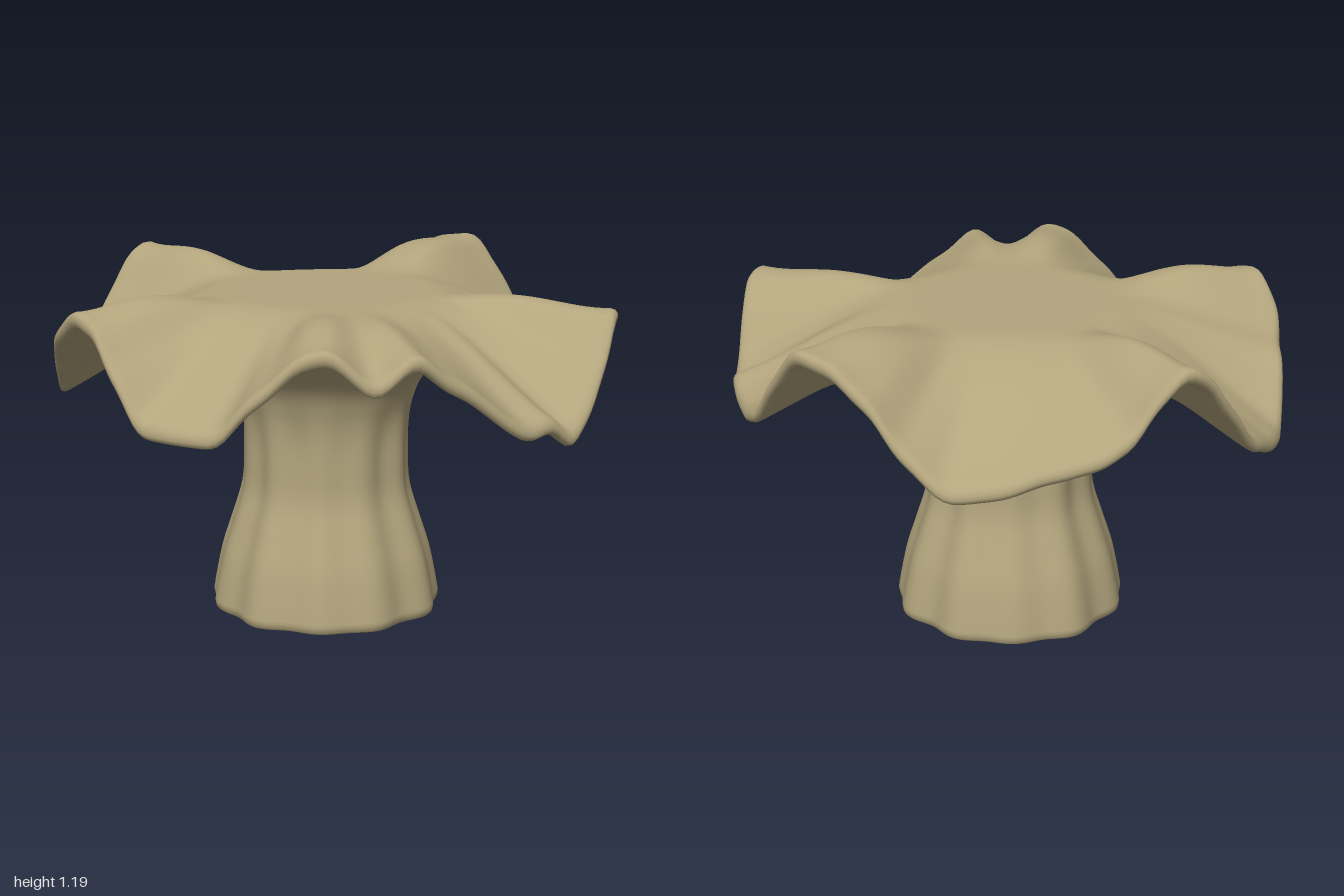
import * as THREE from 'three';

const SEGMENTS = 240;
const CENTRE = 1.12; // height of the flat middle of the cap
const NECK = 0.83;   // height where the stem meets the cap

// Rim of the cap: angle in degrees (from +x towards +z), height
const RIM_HEIGHT = [
  [0, .82], [5, .75], [10, .83], [16, .81], [33, 1], [41, 1.1], [49, 1], [58, 1.12], [63, 1.1],
  [72, .97], [80, .83], [97, .83], [105, .98], [112, 1.11], [120, 1.14], [128, 1.05], [135, .97],
  [143, .95], [150, .86], [157, .76], [165, .78], [177, .85], [184, 1], [190, 1.14], [195, 1.18],
  [200, 1.1], [206, .97], [213, .92], [222, .89], [231, .84], [241, .82], [250, .93], [258, 1.08],
  [266, 1.17], [275, 1.19], [281, 1.06], [287, .92], [295, .88], [303, .88], [310, .91], [321, .81],
  [328, .86], [334, 1], [340, 1.1], [346, 1.11], [352, .97],
];
// Rim of the cap: angle in degrees, radius
const RIM_RADIUS = [
  [0, 1], [15, .97], [30, .93], [45, .95], [57, .94], [90, .95], [115, .93], [129, .96], [137, .93],
  [150, .94], [165, .97], [180, 1], [195, .98], [203, .95], [210, .97], [225, .96], [240, .98],
  [255, .94], [270, .95], [286, .98], [300, .95], [315, .95], [330, .97], [343, 1.01],
];

// Smooth lookup around a closed table
function sample(table, deg) {
  const d = ((deg % 360) + 360) % 360;
  let i = table.length - 1;
  while (i > 0 && table[i][0] > d) i--;
  const [a0, v0] = table[i];
  const [a1, v1] = i + 1 < table.length ? table[i + 1] : [table[0][0] + 360, table[0][1]];
  const t = (d - a0) / (a1 - a0);
  return v0 + (v1 - v0) * (0.5 * t + 0.5 * t * t * (3 - 2 * t));
}

function averaged(table, deg, spread) {
  let sum = 0;
  for (let k = -4; k <= 4; k++) sum += sample(table, deg + (k / 4) * spread);
  return sum / 9;
}

// Folds spread from a flat centre: broad ones begin nearer the middle, raised ones swell midway
function capHeight(u, deg) {
  const broad = averaged(RIM_HEIGHT, deg, 14) - CENTRE;
  const fine = averaged(RIM_HEIGHT, deg, 2) - CENTRE - broad;
  const t1 = Math.max(0, (u - 0.35) / 0.65);
  const t2 = Math.max(0, (u - 0.4) / 0.6);
  const crest = THREE.MathUtils.smoothstep(averaged(RIM_HEIGHT, deg, 9), 0.95, 1.13);
  const swell = 0.045 * crest * Math.sin(Math.PI * t1) ** 2;
  const bend = 0.5 * Math.pow(t1, 1.4) + 0.5 * THREE.MathUtils.smoothstep(t1, 0, 1);
  return CENTRE + broad * bend + fine * Math.pow(t2, 1.4) + swell;
}

function capPoint(u, drop, deg) {
  const a = THREE.MathUtils.degToRad(deg);
  const r = u * (1 + (averaged(RIM_RADIUS, deg, 4) - 1) * u ** 3);
  return [r * Math.cos(a), capHeight(u, deg) - drop, r * Math.sin(a)];
}

// Uneven flutes running down the stem
function stemPoint(r, y, deg) {
  const a = THREE.MathUtils.degToRad(deg);
  const fade = THREE.MathUtils.smoothstep(NECK - y, 0, 0.25);
  const flute = 1 + fade * (0.024 * Math.cos(11 * a + 0.5) + 0.014 * Math.cos(7 * a + 1) - 0.008);
  return [r * flute * Math.cos(a), y, r * flute * Math.sin(a)];
}

// Skin a closed surface through rings of points
function skin(rings) {
  const positions = [], index = [];
  for (const ring of rings) {
    for (let j = 0; j < SEGMENTS; j++) positions.push(...ring((j / SEGMENTS) * 360));
  }
  for (let i = 0; i < rings.length - 1; i++) {
    for (let j = 0; j < SEGMENTS; j++) {
      const k = (j + 1) % SEGMENTS;
      const a = i * SEGMENTS + j, b = i * SEGMENTS + k;
      const c = a + SEGMENTS, d = b + SEGMENTS;
      index.push(a, b, c, b, d, c);
    }
  }
  const geometry = new THREE.BufferGeometry();
  geometry.setAttribute('position', new THREE.Float32BufferAttribute(positions, 3));
  geometry.setIndex(index);
  geometry.computeVertexNormals();
  return geometry;
}

export function createModel() {
  const group = new THREE.Group();
  const tan = new THREE.MeshStandardMaterial({ color: 0xb3a57d });
  tan.name = 'tan';

  const rings = [];
  // Top of the cap
  for (let i = 0; i <= 36; i++) rings.push(deg => capPoint((i / 36) * 0.975, 0, deg));
  // Rounded rim
  for (const [u, drop] of [[0.99, 0.006], [0.998, 0.017], [1, 0.03], [0.996, 0.043], [0.985, 0.053]]) {
    rings.push(deg => capPoint(u, drop, deg));
  }
  // Underside of the cap running smoothly into the stem and its flared foot
  const profile = new THREE.SplineCurve([
    [0.97, 1.064], [0.85, 1.055], [0.7, 1.035], [0.52, 0.975], [0.42, 0.915], [0.34, 0.83],
    [0.305, 0.745], [0.29, 0.66], [0.288, 0.55], [0.295, 0.43], [0.33, 0.31], [0.365, 0.2],
    [0.387, 0.1], [0.4, 0.025],
  ].map(p => new THREE.Vector2(...p)));
  for (const p of profile.getPoints(65)) {
    rings.push(deg => (p.y > NECK ? capPoint(p.x, CENTRE - p.y, deg) : stemPoint(p.x, p.y, deg)));
  }
  rings.push(deg => stemPoint(0.397, 0.008, deg), deg => stemPoint(0.388, 0, deg));

  const body = new THREE.Mesh(skin(rings), tan);
  body.name = 'ruffledCapAndStem';
  group.add(body);

  // Flat underside of the foot
  const base = new THREE.Mesh(skin([deg => stemPoint(0.388, 0, deg), deg => stemPoint(0, 0, deg)]), tan);
  base.name = 'base';
  group.add(base);
  return group;
}
